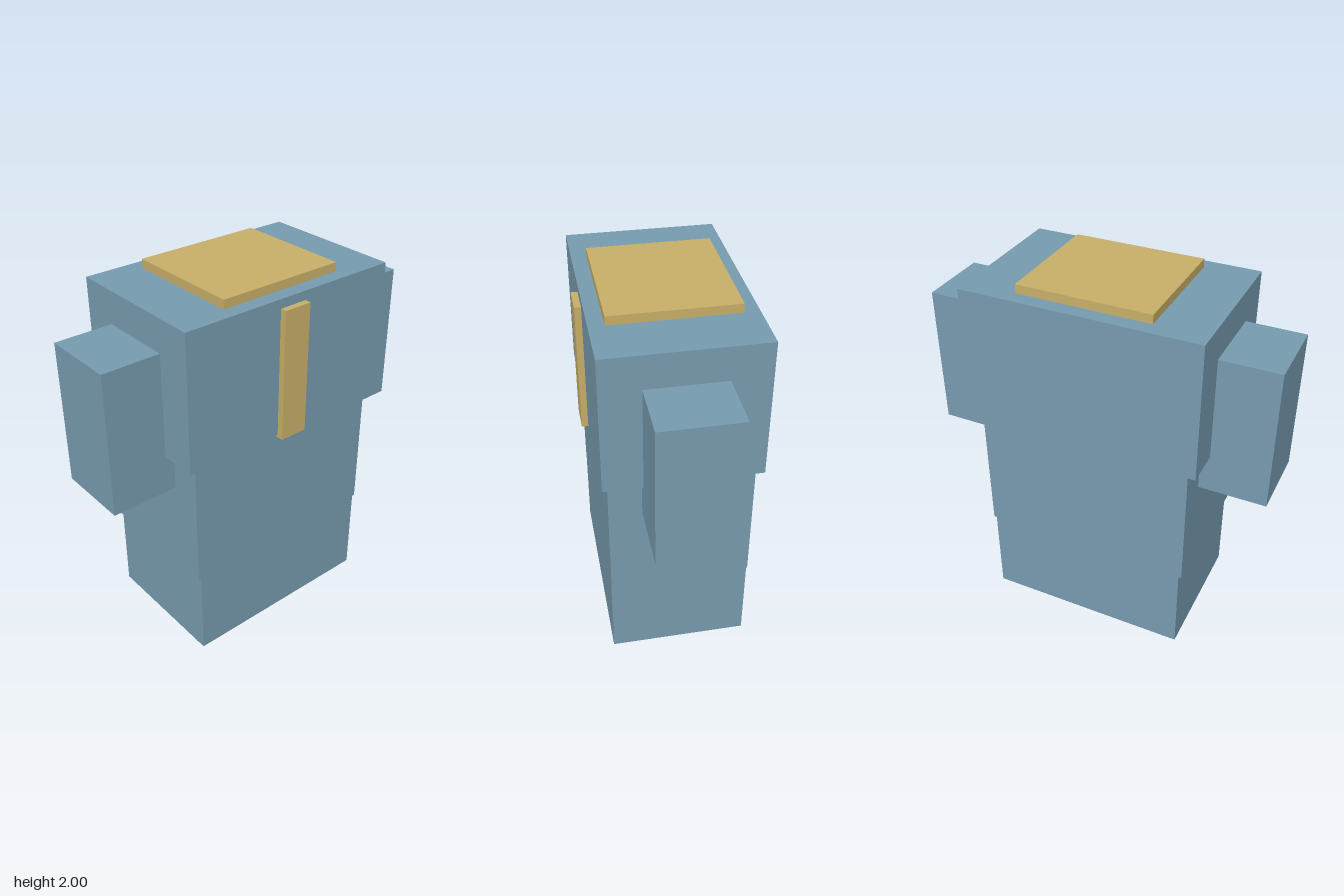
import * as THREE from 'three';

export function createModel() {
  const group = new THREE.Group();
  const blue = new THREE.MeshStandardMaterial({ color: 0x779baf });
  blue.name = 'dusty blue';
  const gold = new THREE.MeshStandardMaterial({ color: 0xc8af69 });
  gold.name = 'muted gold';

  // Box given by its extents along each axis
  function block(name, material, [x0, x1], [y0, y1], [z0, z1]) {
    const mesh = new THREE.Mesh(new THREE.BoxGeometry(x1 - x0, y1 - y0, z1 - z0), material);
    mesh.position.set((x0 + x1) / 2, (y0 + y1) / 2, (z0 + z1) / 2);
    mesh.name = name;
    group.add(mesh);
  }

  // Stacked body
  block('base', blue, [-0.564, 0.564], [0, 0.5], [-0.388, 0.355]);
  block('torso', blue, [-0.58, 0.58], [0.5, 1.21], [-0.388, 0.355]);
  block('chest', blue, [-0.63, 0.63], [1.21, 1.953], [-0.419, 0.385]);

  // Arms, mirrored left and right
  block('leftArm', blue, [0.58, 0.942], [1.003, 1.774], [-0.218, 0.184]);
  block('rightArm', blue, [-0.942, -0.58], [1.003, 1.774], [-0.218, 0.184]);

  // Gold trim
  block('topPlate', gold, [-0.354, 0.354], [1.953, 2], [-0.34, 0.306]);
  block('frontStrip', gold, [-0.078, 0.078], [1.196, 1.904], [0.374, 0.419]);

  return group;
}
